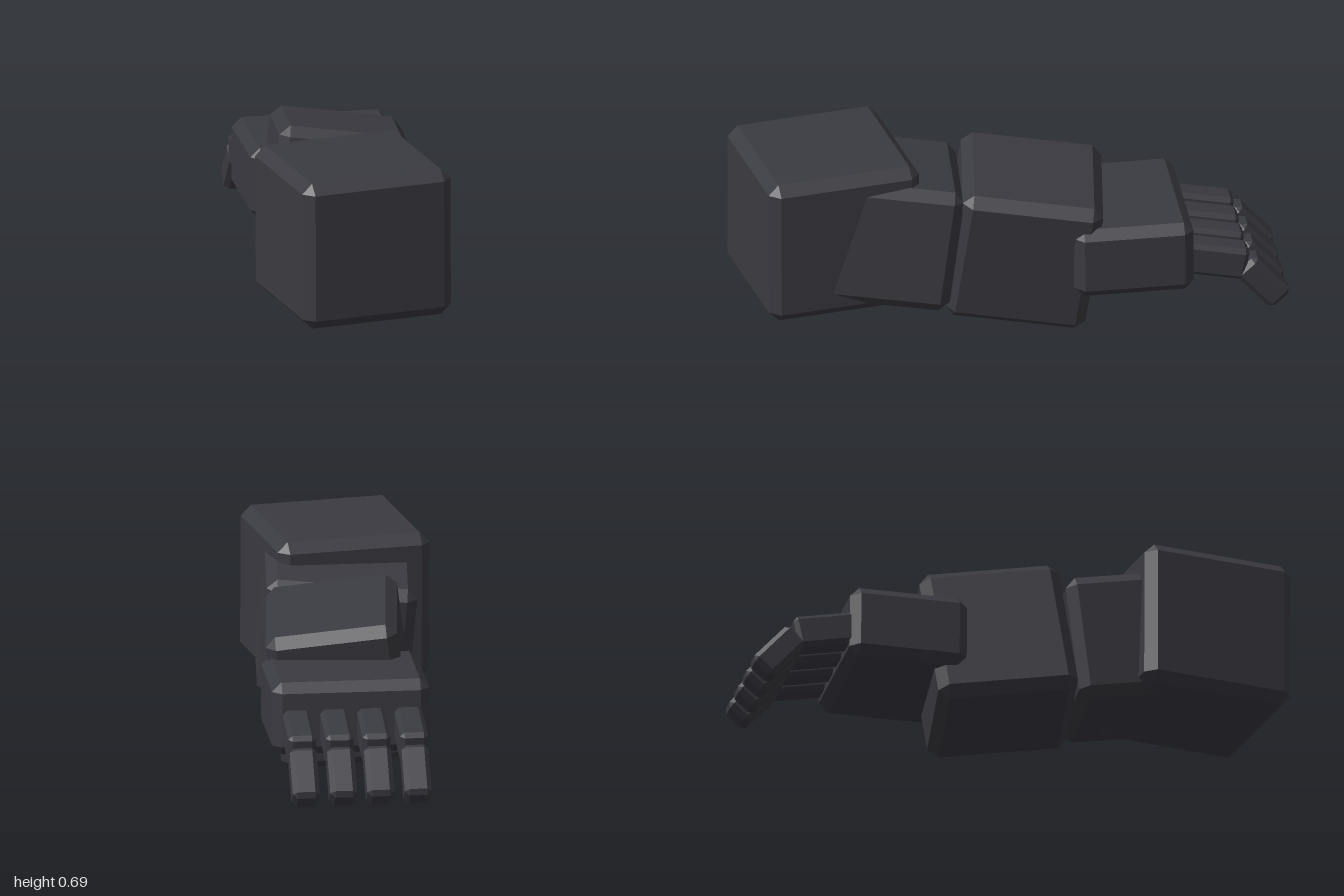
import * as THREE from 'three';
import { ConvexGeometry } from 'three/addons/geometries/ConvexGeometry.js';

// Box with flat chamfers on every edge: three corner points per box corner.
function chamferedBox(w, h, d, c) {
  const points = [];
  for (const x of [-1, 1]) for (const y of [-1, 1]) for (const z of [-1, 1]) {
    const corner = new THREE.Vector3(x * w / 2, y * h / 2, z * d / 2);
    points.push(
      corner.clone().sub(new THREE.Vector3(0, y * c, z * c)),
      corner.clone().sub(new THREE.Vector3(x * c, 0, z * c)),
      corner.clone().sub(new THREE.Vector3(x * c, y * c, 0)));
  }
  return new ConvexGeometry(points);
}

export function createModel() {
  const model = new THREE.Group();
  model.name = 'arm';
  const charcoal = new THREE.MeshStandardMaterial({ color: 0x3a3a41 });
  charcoal.name = 'charcoal';
  const rad = THREE.MathUtils.degToRad;

  // size and position in units; turn is pitch, yaw, roll in degrees
  function block(name, size, chamfer, position, turn, parent = model) {
    const mesh = new THREE.Mesh(chamferedBox(...size, chamfer), charcoal);
    mesh.name = name;
    mesh.position.set(...position);
    mesh.rotation.set(...turn.map(rad), 'YXZ');
    parent.add(mesh);
  }

  // Arm, from shoulder to hand
  block('shoulder', [0.577, 0.557, 0.577], 0.038, [-0.022, 0.415, 0.667], [0, 9.5, 0.3]);
  block('upperArm', [0.555, 0.47, 0.56], 0.038, [-0.005, 0.383, 0.47], [-8, -5, 5]);
  block('forearm', [0.485, 0.535, 0.52], 0.038, [0.04, 0.325, -0.063], [-8, -6, -7.2]);
  block('hand', [0.58, 0.273, 0.44], 0.035, [0.057, 0.318, -0.435], [0.5, 0, 0]);

  // Four fingers, each with two bent joints
  [-0.152, -0.014, 0.122, 0.26].forEach((x, i) => {
    const finger = new THREE.Group();
    finger.name = `finger${i + 1}`;
    finger.position.x = x;
    model.add(finger);
    block('fingerBase', [0.103, 0.122, 0.25], 0.016, [0, 0.281, -0.733], [-11, 0, 0], finger);
    block('fingerTip', [0.1, 0.104, 0.205], 0.018, [0, 0.179, -0.914], [-48, 0, 0], finger);
  });

  return model;
}
